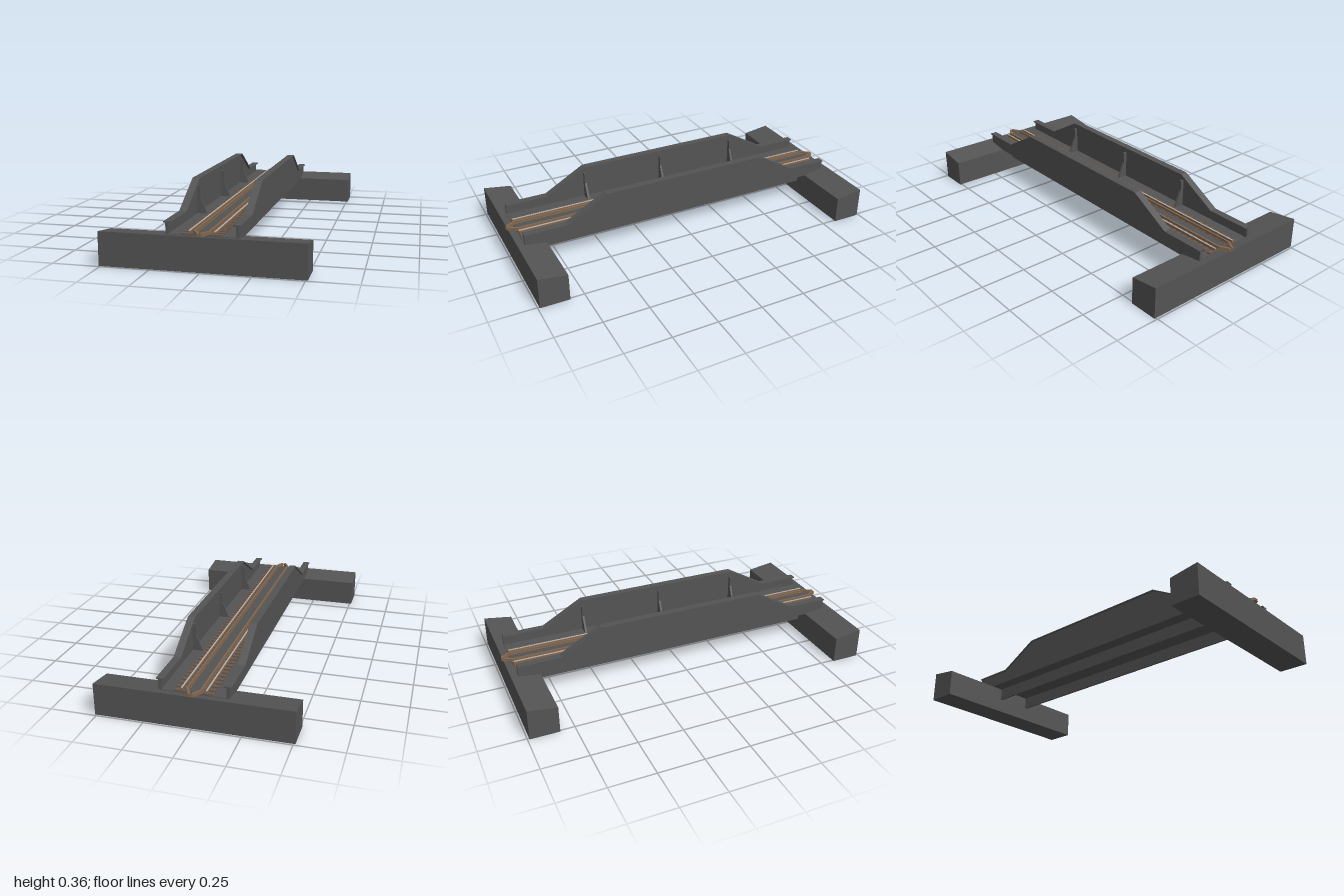
import * as THREE from 'three';

const mat = (name, color, extra = {}) => {
  const m = new THREE.MeshStandardMaterial({ color, ...extra });
  m.name = name;
  return m;
};

export function createModel() {
  const root = new THREE.Group();
  root.name = 'railwayBridge';
  const grey = mat('darkGrey', 0x545454);
  const wood = mat('sleeperBrown', 0x6a584a);
  const rust = mat('rustyRail', 0x80664f);
  const steel = mat('railSteel', 0xb4aea8);

  const add = (name, geometry, material) => {
    const mesh = new THREE.Mesh(geometry, material);
    mesh.name = name;
    root.add(mesh);
    return mesh;
  };
  // Box given by its minimum and maximum corners
  const box = (name, material, [x0, y0, z0], [x1, y1, z1]) =>
    add(name, new THREE.BoxGeometry(x1 - x0, y1 - y0, z1 - z0)
      .translate((x0 + x1) / 2, (y0 + y1) / 2, (z0 + z1) / 2), material);
  const prism = (points, depth) => new THREE.ExtrudeGeometry(
    new THREE.Shape(points.map(p => new THREE.Vector2(...p))),
    { depth, bevelEnabled: false });
  // Side profile of [z, y] points, extruded from x0 to x1
  const sideProfile = (points, x0, x1) =>
    prism(points.map(([z, y]) => [-z, y]), x1 - x0).rotateY(Math.PI / 2).translate(x0, 0, 0);
  // Plan outline of [x, z] points, extruded from y0 to y1
  const plan = (points, y0, y1) =>
    prism(points.map(([x, z]) => [x, -z]), y1 - y0).rotateX(-Math.PI / 2).translate(0, y0, 0);

  // Abutments, their tops falling slightly towards the span
  for (const s of [-1, 1]) {
    add('abutment', sideProfile(
      [[s * 0.83, 0], [s * 0.99, 0], [s * 0.99, 0.173], [s * 0.83, 0.15]], -0.51, 0.51), grey);
  }

  // Deck slab
  box('deck', grey, [-0.18, 0.15, -0.95], [0.18, 0.17, 0.95]);

  const top = [[-0.95, 0.23], [-0.71, 0.23], [-0.48, 0.36], [0.48, 0.36], [0.71, 0.23], [0.95, 0.23]];
  const web = [[-0.95, 0.17], ...top, [0.95, 0.17], [0.83, 0.15], [-0.83, 0.15]];
  const flange = [...top, ...top.map(([z, y]) => [z, y - 0.006]).reverse()];

  for (const s of [-1, 1]) {
    const span = (a, b) => (s > 0 ? [a, b] : [-b, -a]);

    // Side girder: thin web with a wider flange along its top
    add('girderWeb', sideProfile(web, ...span(0.165, 0.18)), grey);
    add('girderFlange', sideProfile(flange, ...span(0.15, 0.19)), grey);

    // Gusset braces on the inner side
    for (const z of [-0.48, 0, 0.48]) {
      add('brace', prism([[0.17, 0.165], [0.17, 0.322], [0.146, 0.322], [0.146, 0.262], [0.107, 0.165]]
        .map(([x, y]) => [s * x, y]), 0.012).translate(0, 0, z - 0.006), grey);
    }

    // Stringer plate under the deck
    const [a, b] = span(0.1, 0.11);
    box('stringer', grey, [a, 0.08, -0.84], [b, 0.152, 0.84]);

    // Running rail
    const [r0, r1] = span(0.059, 0.067);
    box('runningRail', rust, [r0, 0.175, -0.945], [r1, 0.189, 0.945]);
    box('railHead', steel, [r0, 0.189, -0.945], [r1, 0.192, 0.945]);

    // Guard rail, turning in to a point at both ends
    const rail = (x, w, tip) => [
      [x + w, -0.945], [x + w, 0.945], [0.012, tip], [0.003, tip],
      [0.003, tip - 0.015], [x - w, 0.94], [x - w, -0.94],
      [0.003, 0.015 - tip], [0.003, -tip], [0.012, -tip],
    ].map(([px, pz]) => [s * px, pz]);
    add('guardRailFoot', plan(rail(0.036, 0.008, 1), 0.177, 0.181), rust);
    add('guardRail', plan(rail(0.036, 0.005, 0.998), 0.181, 0.193), rust);
  }

  // Sleepers across the deck, with a plate between the guard rails
  const count = 49;
  for (let i = 0; i < count; i++) {
    const z = -0.935 + (1.87 * i) / (count - 1);
    box('sleeper', wood, [-0.1, 0.168, z - 0.011], [0.1, 0.177, z + 0.011]);
  }
  box('centrePlate', grey, [-0.026, 0.168, -0.95], [0.026, 0.179, 0.95]);

  return root;
}
